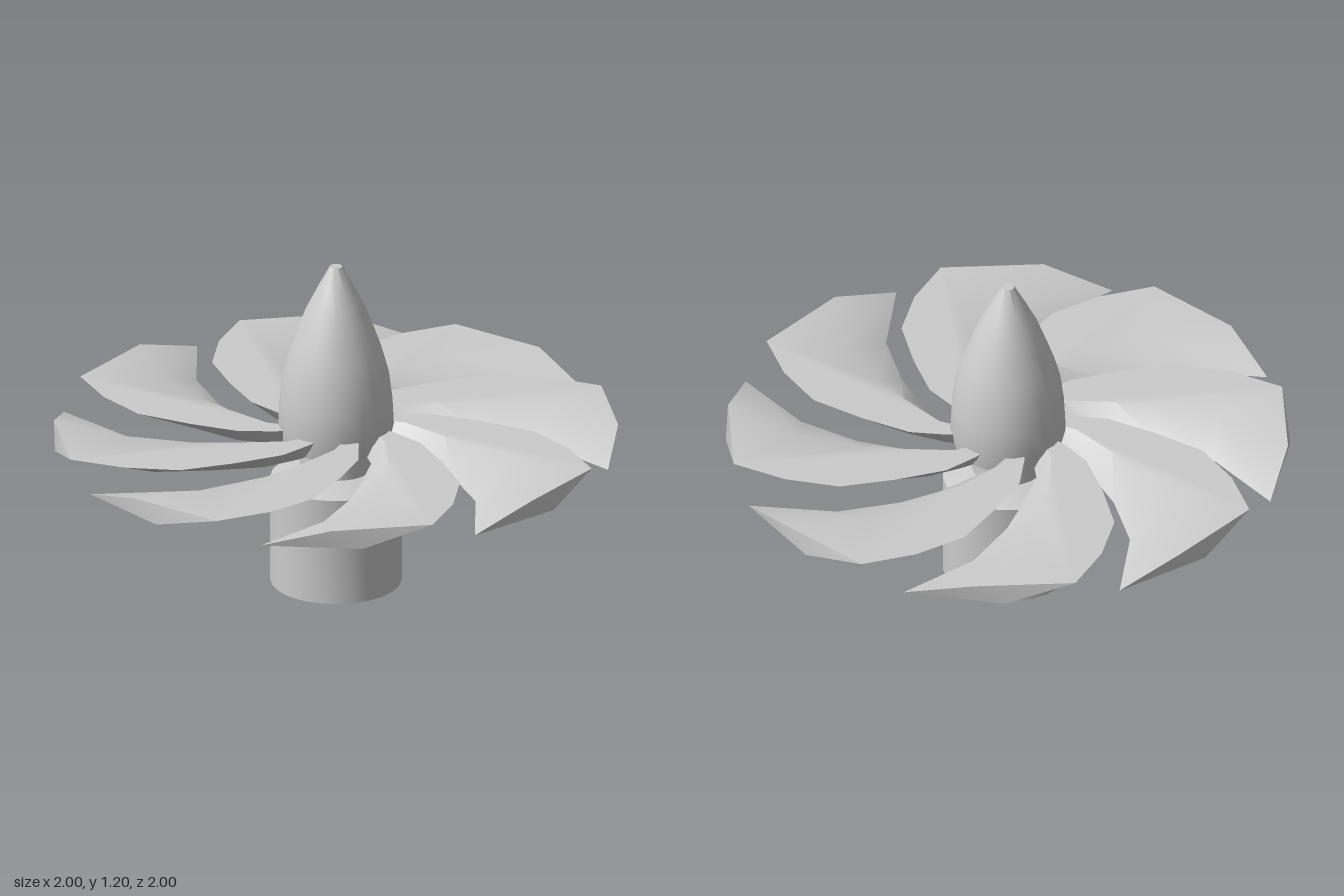
import * as THREE from 'three';
import { toCreasedNormals } from 'three/addons/utils/BufferGeometryUtils.js';

const material = new THREE.MeshStandardMaterial({ color: 0xcccccc });
const BLADES = 8;
const TWIST = THREE.MathUtils.degToRad(14.5); // lower outline turned against the upper one
const BOTTOM = 0.53, THICKNESS = 0.07;

// Blade outline as [radius, degrees clockwise seen from above]
const CONVEX_EDGE = [[0.17, -72], [0.226, -67], [0.353, -59], [0.519, -47.3], [0.706, -39.5], [0.857, -30], [1, -21]];
const CONCAVE_EDGE = [[1, 0], [0.744, -12.2], [0.534, -21.4], [0.406, -28], [0.245, -46], [0.17, -54]];

function bladeGeometry() {
  const points = [...CONVEX_EDGE, ...CONCAVE_EDGE].map(([r, deg]) => {
    const a = THREE.MathUtils.degToRad(deg);
    return new THREE.Vector2(r * Math.sin(a), r * Math.cos(a));
  });
  const geometry = new THREE.ExtrudeGeometry(new THREE.Shape(points), {
    depth: THICKNESS, steps: 1, bevelEnabled: false,
  });

  // Turn the lower outline about the shaft, so the side walls lean
  const pos = geometry.attributes.position;
  const v = new THREE.Vector3();
  const axis = new THREE.Vector3(0, 0, 1);
  for (let i = 0; i < pos.count; i++) {
    v.fromBufferAttribute(pos, i);
    v.applyAxisAngle(axis, -TWIST * (1 - v.z / THICKNESS));
    pos.setXYZ(i, v.x, v.y, v.z);
  }
  geometry.rotateX(-Math.PI / 2).translate(0, BOTTOM, 0);
  return toCreasedNormals(geometry, 0.6);
}

function turned(name, profile) {
  const points = profile.map(([r, y]) => new THREE.Vector2(r, y));
  const mesh = new THREE.Mesh(toCreasedNormals(new THREE.LatheGeometry(points, 24), 0.6), material);
  mesh.name = name;
  return mesh;
}

export function createModel() {
  const model = new THREE.Group();
  model.name = 'impeller';

  // Pointed nose with the hub that carries the blades
  model.add(turned('noseCone', [
    [0, 0.5], [0.13, 0.5], [0.19, 0.53], [0.205, 0.6], [0.2, 0.7], [0.187, 0.8], [0.165, 0.88],
    [0.14, 0.95], [0.11, 1.03], [0.065, 1.12], [0.022, 1.2], [0, 1.2],
  ]));

  // Narrow neck and the cylindrical base
  model.add(turned('neck', [[0.13, 0.41], [0.13, 0.51]]));
  model.add(turned('base', [[0, 0], [0.233, 0], [0.233, 0.395], [0.13, 0.43], [0, 0.43]]));

  // Ring of swept blades
  const geometry = bladeGeometry();
  const blades = new THREE.Group();
  blades.name = 'blades';
  for (let i = 0; i < BLADES; i++) {
    const blade = new THREE.Mesh(geometry, material);
    blade.name = `blade${i + 1}`;
    blade.rotation.y = (i / BLADES) * Math.PI * 2;
    blades.add(blade);
  }
  model.add(blades);
  return model;
}
